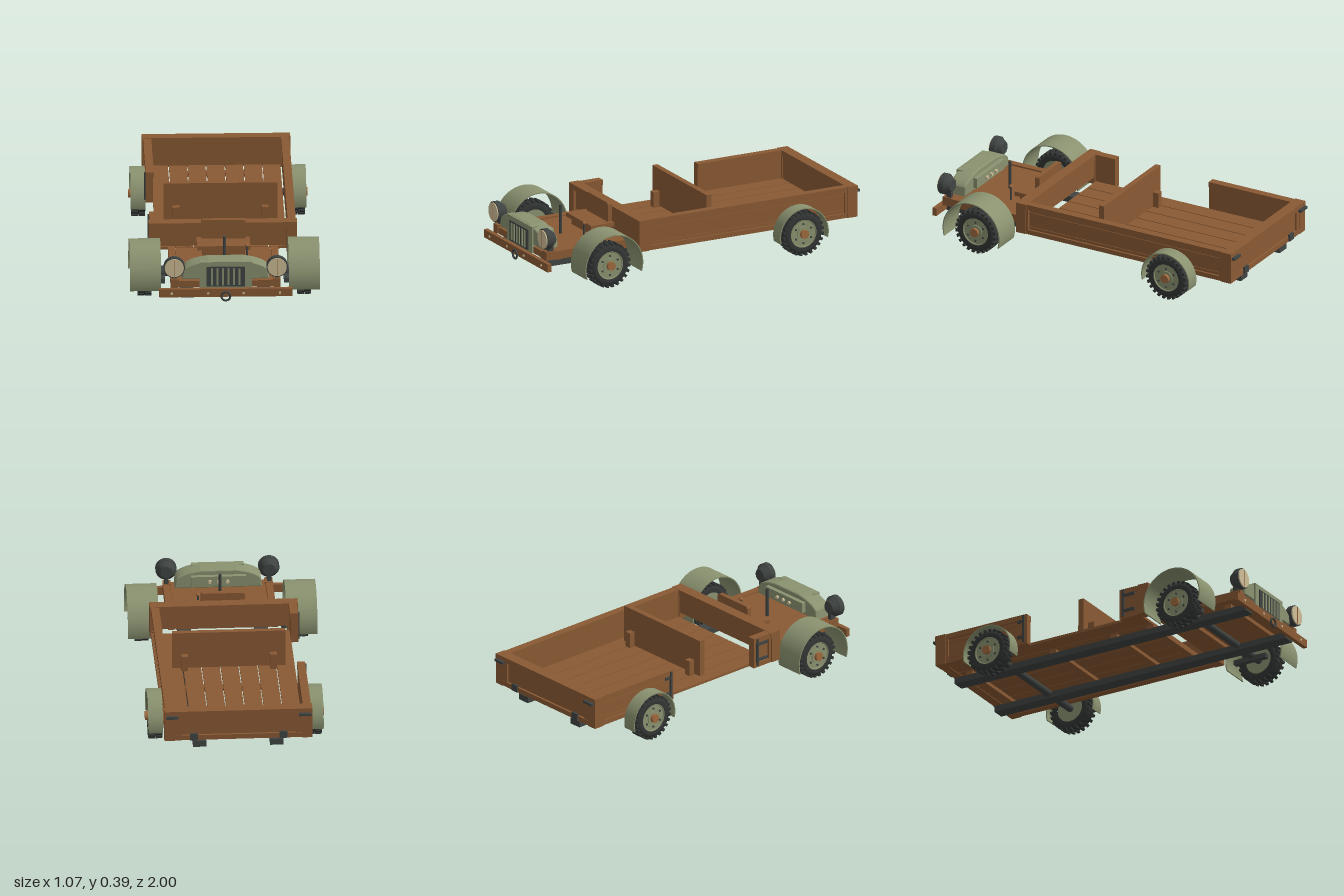
import * as THREE from 'three';

const mat = (name, color, side = THREE.FrontSide) => {
  const m = new THREE.MeshStandardMaterial({ color, side });
  m.name = name;
  return m;
};

export function createModel() {
  const root = new THREE.Group();
  root.name = 'flatbedTruck';
  const wood = mat('wood brown', 0x8a5a34);
  const green = mat('olive green', 0x8a9270);
  const dark = mat('dark metal', 0x3f4442);
  const rubber = mat('tyre black', 0x323634);
  const cream = mat('lens cream', 0xd0bf98);
  const copper = mat('hub copper', 0xa06a3e);

  const add = (name, geo, m, x = 0, y = 0, z = 0, parent = root) => {
    const mesh = new THREE.Mesh(geo, m);
    mesh.name = name;
    mesh.position.set(x, y, z);
    parent.add(mesh);
    return mesh;
  };
  // box given by its minimum and maximum along each axis
  const box = (name, m, x0, x1, y0, y1, z0, z1, parent = root) =>
    add(name, new THREE.BoxGeometry(x1 - x0, y1 - y0, z1 - z0), m,
      (x0 + x1) / 2, (y0 + y1) / 2, (z0 + z1) / 2, parent);
  // same box on both sides
  const pair = (name, m, x0, x1, ...r) => {
    box(name, m, x0, x1, ...r);
    box(name, m, -x1, -x0, ...r);
  };
  const cylX = (r, len, n) => new THREE.CylinderGeometry(r, r, len, n).rotateZ(-Math.PI / 2);
  const cylZ = (r, len, n, r2 = r) => new THREE.CylinderGeometry(r, r2, len, n).rotateX(Math.PI / 2);

  // chassis
  pair('chassisRail', dark, 0.18, 0.255, 0.1, 0.136, -0.95, 0.965);
  for (const z of [-0.85, -0.3, 0.1, 0.34, 0.55, 0.85])
    box('bolster', wood, -0.26, 0.26, 0.134, 0.157, z - 0.02, z + 0.02);
  for (const z of [0.645, -0.595]) add('axle', cylX(0.021, 0.86, 16), dark, 0, 0.13, z);
  pair('leafSpring', dark, 0.335, 0.365, 0.097, 0.125, 0.53, 0.74);

  // cab floor
  box('cabFloor', wood, -0.268, 0.268, 0.157, 0.195, 0.43, 0.955);
  pair('cabSill', wood, 0.27, 0.31, 0.155, 0.203, 0.43, 0.96);

  // bumper, bolts and tow ring
  box('bumper', wood, -0.375, 0.375, 0.11, 0.157, 0.963, 0.988);
  for (const x of [-0.305, -0.1, 0.1, 0.305])
    add('bumperBolt', cylZ(0.007, 0.006, 10), cream, x, 0.132, 0.99);
  add('towRing', new THREE.TorusGeometry(0.025, 0.006, 10, 28), dark, 0, 0.115, 0.993);

  // hood with sloped shoulders
  const hood = new THREE.Shape();
  hood.moveTo(-0.24, 0.21);
  hood.lineTo(0.24, 0.21);
  hood.lineTo(0.235, 0.255);
  hood.quadraticCurveTo(0.22, 0.28, 0.15, 0.298);
  hood.lineTo(0.1, 0.307);
  hood.lineTo(-0.1, 0.307);
  hood.lineTo(-0.15, 0.298);
  hood.quadraticCurveTo(-0.22, 0.28, -0.235, 0.255);
  add('hood', new THREE.ExtrudeGeometry(hood, {
    depth: 0.085, bevelSize: 0.006, bevelThickness: 0.01, bevelSegments: 2, curveSegments: 6,
  }), green, 0, 0, 0.86);
  box('dashPanel', green, -0.155, 0.155, 0.225, 0.285, 0.825, 0.86);
  for (const x of [-0.05, 0, 0.05]) add('dashKnob', cylZ(0.01, 0.012, 12), cream, x, 0.255, 0.819);
  box('grilleSurround', green, -0.148, 0.148, 0.157, 0.31, 0.925, 0.964);
  box('grillePanel', dark, -0.108, 0.108, 0.165, 0.283, 0.964, 0.97);
  for (let i = 0; i < 6; i++) {
    const x = (i - 2.5) * 0.031;
    box('grilleSlat', green, x - 0.005, x + 0.005, 0.175, 0.274, 0.97, 0.976);
  }

  // headlights on wooden blocks
  for (const s of [-1, 1]) {
    const lamp = new THREE.Group();
    lamp.name = 'headlight';
    lamp.position.set(s * 0.29, 0.28, 0.94);
    root.add(lamp);
    add('lampRim', cylZ(0.06, 0.032, 28), dark, 0, 0, 0.014, lamp);
    add('lampBowl', cylZ(0.058, 0.035, 28, 0.035), dark, 0, 0, -0.019, lamp);
    add('lampLens', cylZ(0.054, 0.008, 28), cream, 0, 0, 0.032, lamp);
    box('lensBar', copper, -0.0015, 0.0015, -0.052, 0.052, 0.036, 0.038, lamp);
    box('lampStem', dark, -0.012, 0.012, -0.08, -0.04, -0.03, 0, lamp);
    box('lampBlock', wood, s * 0.287 - 0.023, s * 0.287 + 0.023, 0.157, 0.206, 0.9, 0.96);
  }

  // seat
  box('seatBase', wood, -0.12, 0.12, 0.195, 0.235, 0.46, 0.565);
  box('seatCushion', wood, -0.15, 0.15, 0.235, 0.26, 0.437, 0.585);
  const back = new THREE.Shape();
  back.moveTo(-0.125, 0.245);
  back.lineTo(0.125, 0.245);
  back.lineTo(0.125, 0.355);
  back.quadraticCurveTo(0.125, 0.372, 0.108, 0.372);
  back.lineTo(-0.108, 0.372);
  back.quadraticCurveTo(-0.125, 0.372, -0.125, 0.355);
  add('seatBack', new THREE.ExtrudeGeometry(back, { depth: 0.028, bevelEnabled: false }), wood, 0, 0, 0.437);

  // control levers
  add('tallLever', new THREE.CylinderGeometry(0.009, 0.009, 0.17, 12), dark, 0, 0.277, 0.7);
  add('shortLever', new THREE.CylinderGeometry(0.006, 0.006, 0.08, 10), dark, 0.13, 0.235, 0.62);
  add('leverKnob', new THREE.SphereGeometry(0.01, 12, 8), copper, 0.13, 0.278, 0.62);

  // bed planks with open gaps
  for (let i = 0; i < 7; i++) {
    const x = -0.372 + i * 0.1057;
    box('bedPlank', wood, x, x + 0.1, 0.155, 0.17, -0.918, 0.355);
  }

  // framed side walls; the right side is open in the middle
  const wall = (s, z0, z1) => {
    const b = (name, a, c, ...r) => box(name, wood, Math.min(s * a, s * c), Math.max(s * a, s * c), ...r);
    b('sidePanel', 0.37, 0.4, 0.16, 0.33, z0, z1);
    b('sideTopRail', 0.366, 0.412, 0.305, 0.336, z0, z1);
    b('sideBottomRail', 0.37, 0.412, 0.155, 0.182, z0, z1);
    for (const y of [0.196, 0.284]) b('sideStrip', 0.4, 0.404, y - 0.005, y + 0.005, z0 + 0.01, z1 - 0.01);
    b('sideStile', 0.37, 0.412, 0.182, 0.305, z0, z0 + 0.016);
    b('sideStile', 0.37, 0.412, 0.182, 0.305, z1 - 0.016, z1);
  };
  wall(1, -0.915, 0.36);
  wall(-1, -0.915, -0.38);
  wall(-1, 0.23, 0.36);

  // strap hardware beside the opening
  for (const [zv, zh] of [[0.255, 0.33], [-0.4, -0.44]]) {
    const a = Math.min(zv, zh), b = Math.max(zv, zh);
    box('gatePost', dark, -0.42, -0.41, 0.165, 0.33, zv - 0.006, zv + 0.006);
    for (const y of [0.2, 0.295]) box('gateStrap', dark, -0.418, -0.41, y - 0.008, y + 0.008, a, b);
  }

  // front wall and tailgate
  box('frontWall', wood, -0.37, 0.37, 0.195, 0.325, 0.362, 0.405);
  box('frontTopRail', wood, -0.418, 0.418, 0.305, 0.337, 0.355, 0.42);
  pair('frontPost', wood, 0.36, 0.418, 0.155, 0.305, 0.36, 0.42);
  box('tailgate', wood, -0.37, 0.37, 0.18, 0.325, -0.965, -0.922);
  box('tailTopRail', wood, -0.418, 0.418, 0.305, 0.337, -0.98, -0.915);
  box('tailBottomRail', wood, -0.36, 0.36, 0.158, 0.187, -0.978, -0.925);
  pair('rearPost', wood, 0.36, 0.418, 0.155, 0.305, -0.978, -0.915);
  pair('tailStile', wood, 0.325, 0.36, 0.187, 0.305, -0.976, -0.96);
  pair('tailLatch', dark, 0.34, 0.41, 0.298, 0.312, -0.998, -0.978);
  pair('tailHinge', dark, 0.23, 0.275, 0.16, 0.2, -0.987, -0.975);

  // bench board across the bed
  box('divider', wood, -0.32, 0.32, 0.175, 0.392, -0.095, -0.062);
  pair('dividerBlock', wood, 0.232, 0.27, 0.17, 0.26, -0.13, 0.022 - 0.045);

  // wheel built along x, outer face towards +x
  const tyreProfile = [[0.08, -0.036], [0.1, -0.039], [0.116, -0.034], [0.121, -0.022],
    [0.121, 0.022], [0.116, 0.034], [0.1, 0.039], [0.08, 0.036]].map(p => new THREE.Vector2(...p));
  const wheel = (s, z) => {
    const g = new THREE.Group();
    g.name = 'wheel';
    g.position.set(s * 0.45, 0.13, z);
    if (s < 0) g.rotation.y = Math.PI;
    root.add(g);
    add('tyre', new THREE.LatheGeometry(tyreProfile, 40).rotateZ(-Math.PI / 2), rubber, 0, 0, 0, g);
    const lug = new THREE.BoxGeometry(0.036, 0.016, 0.016).translate(0, 0.122, 0);
    for (let i = 0; i < 48; i++) {
      const t = add('tread', lug, rubber, i % 2 ? 0.02 : -0.02, 0, 0, g);
      t.rotation.x = (i * Math.PI) / 24;
    }
    add('rim', cylX(0.083, 0.06, 32), green, 0, 0, 0, g);
    add('rimLip', new THREE.TorusGeometry(0.08, 0.005, 8, 36).rotateY(Math.PI / 2), green, 0.032, 0, 0, g);
    add('hubRing', cylX(0.04, 0.006, 24), green, 0.033, 0, 0, g);
    add('hub', cylX(0.026, 0.03, 8), copper, 0.04, 0, 0, g);
    for (let i = 0; i < 6; i++) {
      const a = (i * Math.PI) / 3;
      add('wheelNut', cylX(0.006, 0.008, 6), dark, 0.033, Math.cos(a) * 0.056, Math.sin(a) * 0.056, g);
    }
  };

  // arched fender: thin ring sector reaching a little below its centre
  const fender = (s, z, y, r, drop, x0, x1) => {
    const a = Math.asin(drop / r);
    const arc = new THREE.Shape();
    arc.absarc(0, 0, r, -a, Math.PI + a, false);
    arc.absarc(0, 0, r - 0.006, Math.PI + a, -a, true);
    const geo = new THREE.ExtrudeGeometry(arc, { depth: x1 - x0, bevelEnabled: false, curveSegments: 32 });
    add('fender', geo.rotateY(Math.PI / 2), green, s > 0 ? x0 : -x1, y, z);
  };
  for (const s of [-1, 1]) {
    wheel(s, 0.645);
    wheel(s, -0.595);
    fender(s, 0.645, 0.138, 0.185, 0.053, 0.36, 0.535);
    fender(s, -0.595, 0.127, 0.156, 0.037, 0.412, 0.495);
  }
  return root;
}
